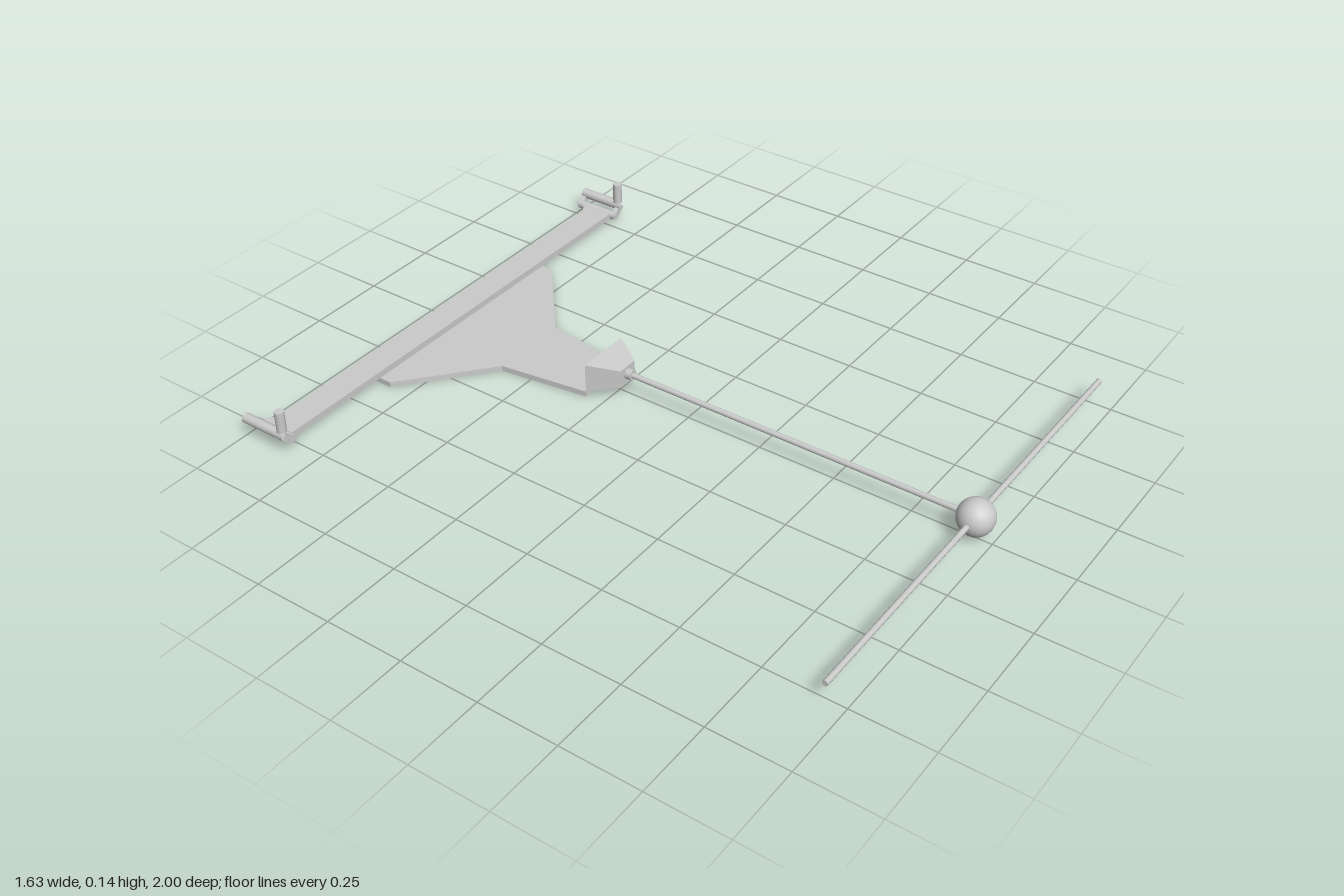
import * as THREE from 'three';

const material = new THREE.MeshStandardMaterial({ color: 0xcccccc, flatShading: true });
const smooth = new THREE.MeshStandardMaterial({ color: 0xcccccc });

export function createModel() {
  const model = new THREE.Group();

  const add = (name, geometry, x = 0, y = 0, z = 0, mat = material) => {
    const mesh = new THREE.Mesh(geometry, mat);
    mesh.name = name;
    mesh.position.set(x, y, z);
    model.add(mesh);
    return mesh;
  };

  // Flat slab from half an outline of [x, z] points, mirrored across x = 0
  const slab = (name, half, y, height) => {
    const outline = [...half, ...half.map(([x, z]) => [-x, z]).reverse()];
    const shape = new THREE.Shape(outline.map(([x, z]) => new THREE.Vector2(x, -z)));
    const geometry = new THREE.ExtrudeGeometry(shape, { depth: height, bevelEnabled: false });
    geometry.rotateX(-Math.PI / 2);
    return add(name, geometry, 0, y, 0);
  };

  // Cylinder lying along z between two depths
  const rodZ = (name, r, x, y, z0, z1, open = false) => {
    const geometry = new THREE.CylinderGeometry(r, r, Math.abs(z1 - z0), 12, 1, open);
    geometry.rotateX(Math.PI / 2);
    return add(name, geometry, x, y, (z0 + z1) / 2, smooth);
  };

  // Front ball, crossbar and long rod
  add('ball', new THREE.SphereGeometry(0.056, 20, 14), 0, 0.07, 0.944, smooth);
  add('crossbar', new THREE.CylinderGeometry(0.009, 0.009, 1.54, 10).rotateZ(Math.PI / 2), 0, 0.07, 0.944, smooth);
  rodZ('longRod', 0.009, 0, 0.07, -0.21, 0.92);

  // Tapered socket holding the rod
  rodZ('socketCollar', 0.017, 0, 0.07, -0.2, -0.23);
  const socket = new THREE.BoxGeometry(1, 1, 0.09);
  const p = socket.attributes.position;
  for (let i = 0; i < p.count; i++) {
    const front = p.getZ(i) > 0;
    p.setXY(i, p.getX(i) * (front ? 0.07 : 0.18), p.getY(i) * (front ? 0.06 : 0.094));
  }
  add('socket', socket, 0, 0.066, -0.265);

  // Base plate flaring out towards the back
  slab('basePlate', [[0.09, -0.31], [0.13, -0.6], [0.39, -0.82], [0.39, -0.92]], 0, 0.018);

  // Rear beam with widened ends
  slab('rearBeam', [[0.775, -0.86], [0.775, -0.985], [0.725, -0.95]], 0.018, 0.021);

  // Hinged rail and upright post at each end of the beam
  for (const [side, s] of [['left', 1], ['right', -1]]) {
    rodZ(side + 'HingePin', 0.014, s * 0.769, 0.03, -0.845, -0.995);
    rodZ(side + 'Rail', 0.016, s * 0.799, 0.058, -0.84, -1, true);
    for (const [end, z] of [['Front', -0.85], ['Back', -0.99]]) {
      const arm = add(side + end + 'Arm', new THREE.BoxGeometry(0.05, 0.022, 0.016), s * 0.785, 0.041, z);
      arm.rotation.z = s * 0.7;
    }
    add(side + 'Post', new THREE.CylinderGeometry(0.015, 0.015, 0.07, 12), s * 0.797, 0.105, -0.855, smooth);
  }

  return model;
}
